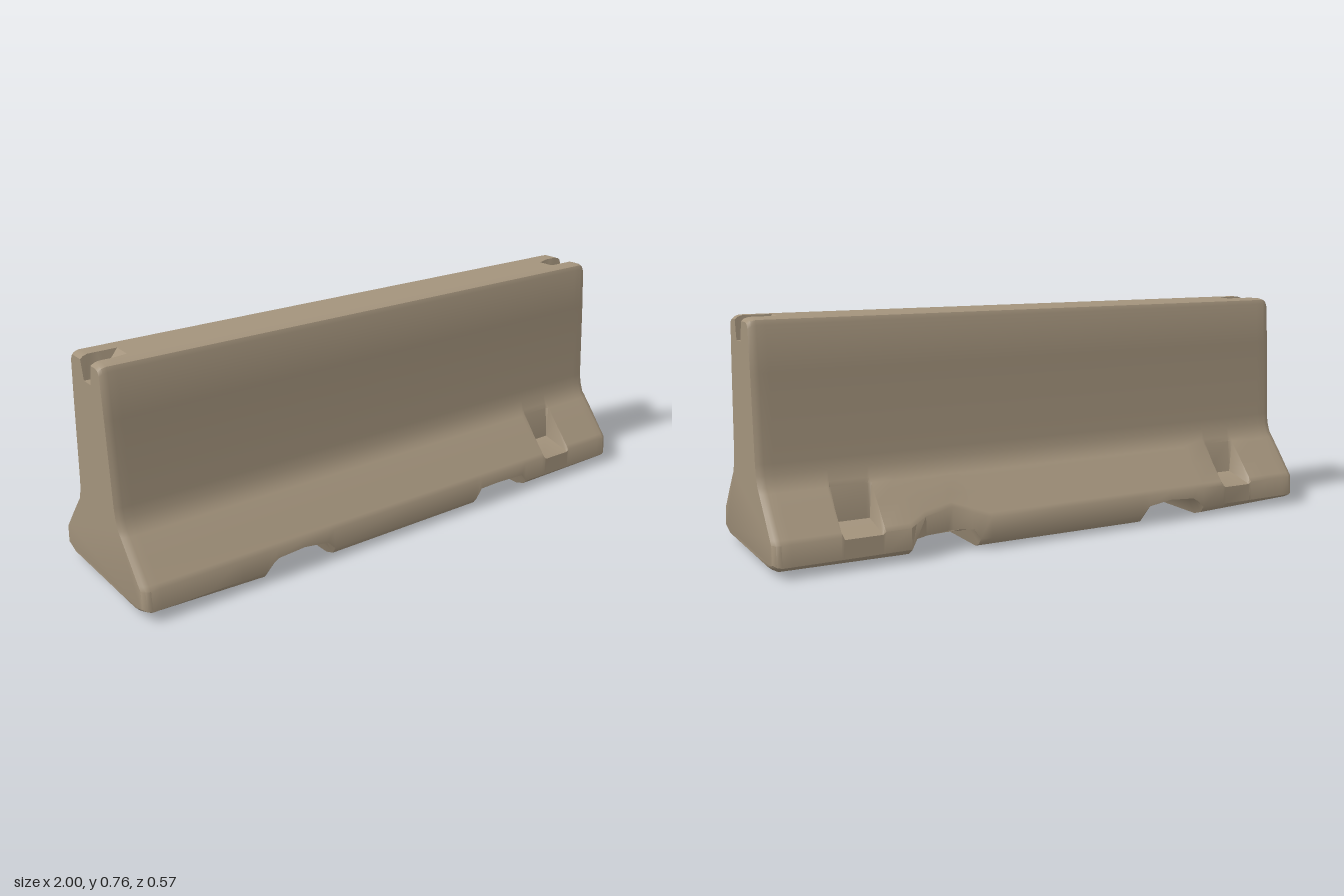
import * as THREE from 'three';
import { toCreasedNormals } from 'three/addons/utils/BufferGeometryUtils.js';

// Underside height along the length: three feet with two lifting slots between
const UNDERSIDE = [
  [-1, 0.024], [-0.97, 0.018], [-0.575, 0.005], [-0.55, 0.055], [-0.53, 0.068], [-0.43, 0.075], [-0.34, 0.062],
  [-0.31, 0.004], [0.315, 0.006], [0.337, 0.064], [0.42, 0.066], [0.54, 0.062], [0.565, 0.012], [0.97, 0.016], [1, 0.024],
];
// Anchor pockets cut in the sloping foot: side (1 front, -1 back), start x, end x
const POCKETS = [[1, 0.655, 0.79], [-1, -0.795, -0.665], [-1, 0.645, 0.785]];
// Chipped back edge: x, depth
const CHIP = [[-1, 0], [0.28, 0], [0.34, 0.02], [0.4, 0.04], [0.5, 0.025], [0.56, 0], [1, 0]];

// Piecewise linear lookup
function lookup(table, x) {
  for (let i = 1; i < table.length; i++) {
    const [x0, y0] = table[i - 1], [x1, y1] = table[i];
    if (x <= x1) return y0 + (y1 - y0) * (x - x0) / (x1 - x0);
  }
  return table[table.length - 1][1];
}

// One flank from crown to foot as [z, y], z measured outwards
function flank(x, side, floor) {
  const inPocket = POCKETS.some(([s, a, b]) => s === side && x > a + 0.005 && x < b - 0.005);
  const chip = side < 0 ? lookup(CHIP, x) : 0;
  const foot = 0.283 - chip;
  const shoulder = 0.108 + chip;
  const pts = [
    [0.082, 0.765], [0.098, 0.76], [0.105, 0.745], [0.115, 0.6], [0.13, 0.325], [0.136, 0.29], [0.15, 0.255],
  ];
  if (inPocket) pts.push([0.158, 0.24], [0.17, 0.128], [foot - 0.012, 0.104], [foot, 0.1]);
  else pts.push([0.165, 0.24], [0.215, 0.185], [foot - 0.012, shoulder + 0.013], [foot, shoulder]);
  pts.push([foot + 0.004, Math.max(0.04, floor + 0.008)], [foot - 0.012, floor + 0.012], [0.235, floor]);
  return pts;
}

// Closed cross-section: crown slot, front flank, underside, back flank
function section(x) {
  const floor = lookup(UNDERSIDE, x);
  const end = Math.abs(x);
  const slotY = end > 0.96 ? 0.69 : end > 0.91 ? 0.715 : 0.764;
  const front = flank(x, 1, floor);
  const back = flank(x, -1, floor).map(([z, y]) => [-z, y]).reverse();
  const loop = [[-0.03, 0.765], [-0.015, slotY], [0.036, slotY], [0.048, 0.765], ...front, [0, floor], ...back];
  // rounded end corners
  const round = end > 0.995 ? 1 : end > 0.985 ? 0.35 : 0;
  return loop.map(([z, y]) => [
    z * (1 - 0.07 * round),
    y > 0.72 ? y - 0.012 * round : y < 0.05 ? y + 0.008 * round : y,
  ]);
}

function buildBody() {
  // stations wherever the section changes
  const xs = new Set([-1, -0.99, -0.975, -0.945, -0.93, -0.88, 0, 0.88, 0.93, 0.945, 0.975, 0.99, 1]);
  UNDERSIDE.forEach(([x]) => xs.add(x));
  CHIP.forEach(([x]) => xs.add(x));
  POCKETS.forEach(([, a, b]) => [a, a + 0.012, b - 0.012, b].forEach((x) => xs.add(x)));
  const stations = [...xs].sort((a, b) => a - b);
  const rings = stations.map(section);
  const n = rings[0].length;

  const positions = [];
  const indices = [];
  rings.forEach((ring, i) => ring.forEach(([z, y]) => positions.push(stations[i], y, z)));
  for (let i = 0; i < rings.length - 1; i++) {
    for (let j = 0; j < n; j++) {
      const p = i * n + j, q = i * n + (j + 1) % n;
      indices.push(p, q, p + n, q, q + n, p + n);
    }
  }

  // end faces
  const last = (rings.length - 1) * n;
  for (const [ring, base, flip] of [[rings[0], 0, true], [rings[rings.length - 1], last, false]]) {
    const outline = ring.map(([z, y]) => new THREE.Vector2(y, z));
    for (const [a, b, c] of THREE.ShapeUtils.triangulateShape(outline, [])) {
      if (flip) indices.push(base + a, base + c, base + b);
      else indices.push(base + a, base + b, base + c);
    }
  }

  const geometry = new THREE.BufferGeometry();
  geometry.setAttribute('position', new THREE.Float32BufferAttribute(positions, 3));
  geometry.setIndex(indices);
  return toCreasedNormals(geometry, 0.75);
}

export function createModel() {
  const concrete = new THREE.MeshStandardMaterial({ color: 0xa3937c });
  concrete.name = 'concrete';

  const group = new THREE.Group();
  group.name = 'roadBarrier';
  const body = new THREE.Mesh(buildBody(), concrete);
  body.name = 'barrierBody';
  group.add(body);

  // steel loop stubs cast into the end slots
  for (const side of [-1, 1]) {
    const stub = new THREE.Mesh(new THREE.ConeGeometry(0.008, 0.04, 6), concrete);
    stub.name = side > 0 ? 'leftEndStub' : 'rightEndStub';
    stub.position.set(side * 0.97, 0.708, 0.01);
    group.add(stub);
  }
  return group;
}
